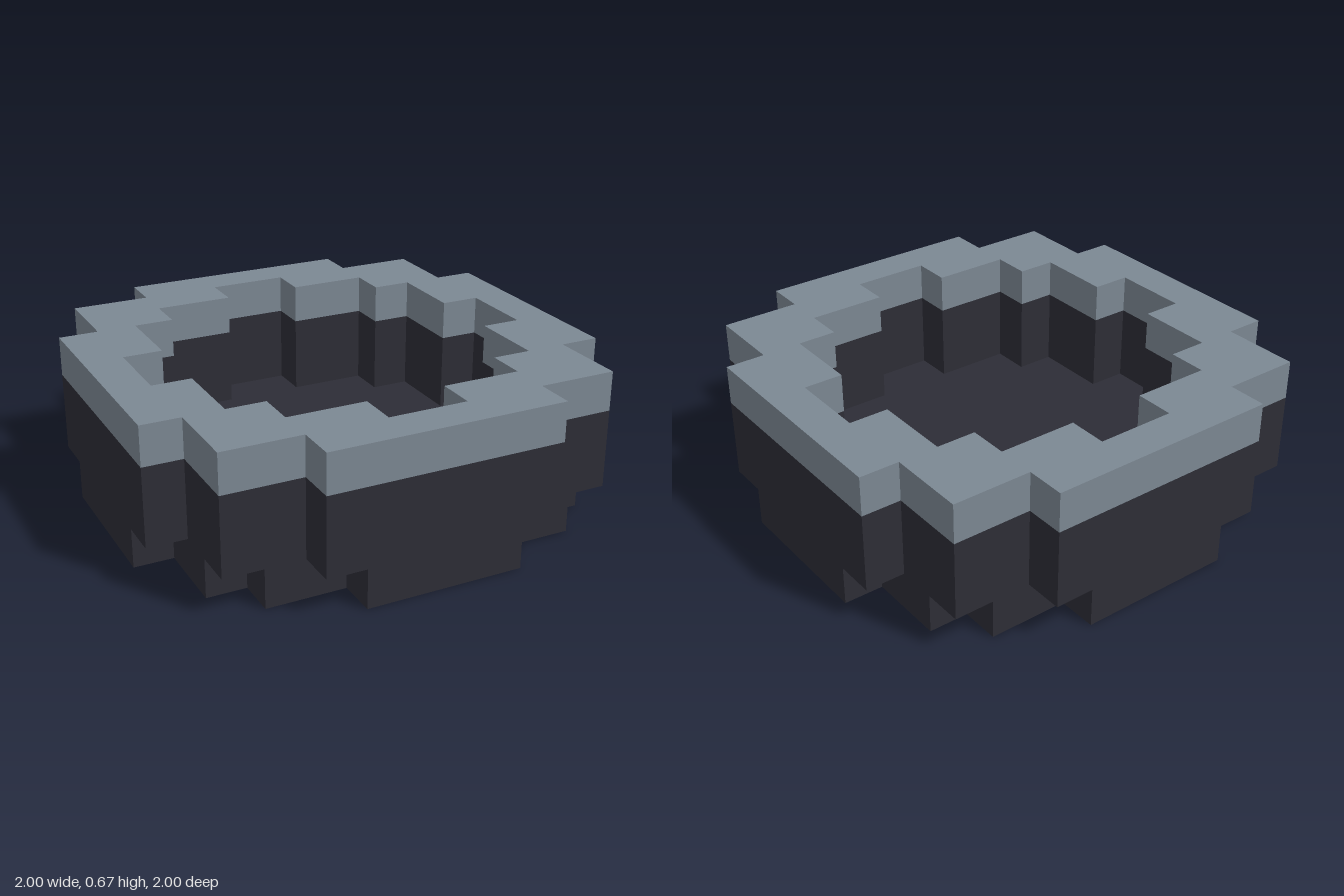
import * as THREE from 'three';

const U = 1 / 6; // one block

// Stepped outline: one corner (in blocks), turned through four quarters
function outline(corner, Type) {
  const pts = [];
  for (let q = 0; q < 4; q++) {
    for (const [x, y] of corner) {
      let p = [x * U, y * U];
      for (let i = 0; i < q; i++) p = [-p[1], p[0]];
      pts.push(new THREE.Vector2(p[0], p[1]));
    }
  }
  return new Type(pts);
}

const OUTER = [[6, 3], [5, 3], [5, 5], [3, 5], [3, 6]];
const INNER = [[5, 1], [4, 1], [4, 3], [3, 3], [3, 4], [1, 4], [1, 5]];
const FOOT = [[6, 2], [5, 2], [5, 4], [4, 4], [4, 5], [2, 5], [2, 6]];

// Upright slab from an outline, with an optional opening
function slab(name, corner, hole, y, height, material) {
  const shape = outline(corner, THREE.Shape);
  if (hole) shape.holes.push(outline(hole, THREE.Path));
  const geo = new THREE.ExtrudeGeometry(shape, { depth: height * U, bevelEnabled: false });
  geo.rotateX(-Math.PI / 2);
  geo.translate(0, y * U, 0);
  const mesh = new THREE.Mesh(geo, material);
  mesh.name = name;
  return mesh;
}

export function createModel() {
  const dark = new THREE.MeshStandardMaterial({ color: 0x2d2d36 });
  dark.name = 'dark iron';
  const grey = new THREE.MeshStandardMaterial({ color: 0x7c8893 });
  grey.name = 'grey rim';

  const group = new THREE.Group();
  group.name = 'blockBasin';
  group.add(
    slab('base', FOOT, null, 0, 1, dark),
    slab('wall', OUTER, INNER, 1, 2, dark),
    slab('rim', OUTER, INNER, 3, 1, grey)
  );
  return group;
}
